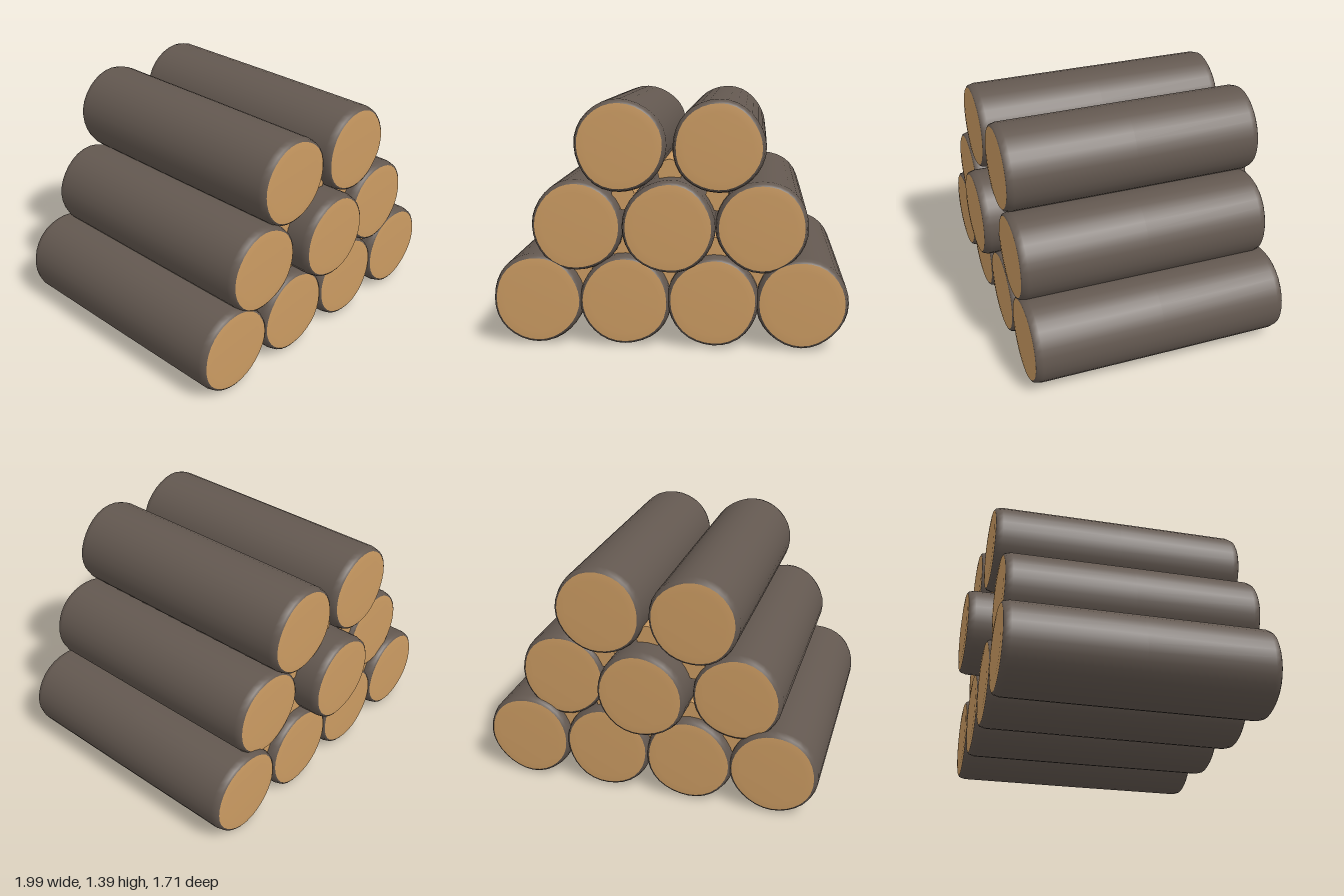
import * as THREE from 'three';

const bark = new THREE.MeshStandardMaterial({ color: 0x635850 });
bark.name = 'bark';
const wood = new THREE.MeshStandardMaterial({ color: 0xcb9b62 });
wood.name = 'cutWood';

const R = 0.257, CUT = 0.236;

// Log rows: [x, y, back z, front z]
const rows = {
  bottom: [[-0.742, 0.262, -0.75, 0.77], [-0.247, 0.262, -0.75, 0.77], [0.246, 0.262, -0.75, 0.77], [0.738, 0.262, -0.75, 0.77]],
  middle: [[-0.515, 0.682, -0.72, 0.77], [0.003, 0.695, -0.855, 0.85], [0.514, 0.685, -0.72, 0.77]],
  top: [[-0.273, 1.128, -0.755, 0.765], [0.273, 1.128, -0.76, 0.765]],
};

// Lathe profile turned to run along z, made slightly out of round
function turned(profile, seed) {
  const g = new THREE.LatheGeometry(profile.map(([r, z]) => new THREE.Vector2(r, z)), 32);
  g.rotateX(Math.PI / 2);
  const p = g.attributes.position;
  for (let i = 0; i < p.count; i++) {
    const a = Math.atan2(p.getY(i), p.getX(i));
    const k = 1 + 0.009 * Math.sin(3 * a + seed * 1.7) + 0.006 * Math.sin(5 * a + seed * 2.3);
    p.setXY(i, p.getX(i) * k, p.getY(i) * k);
  }
  return g;
}

function makeLog([x, y, back, front], seed) {
  const log = new THREE.Group();
  log.name = 'log' + seed;
  const add = (name, profile, material) => {
    const mesh = new THREE.Mesh(turned(profile, seed), material);
    mesh.name = name;
    log.add(mesh);
  };
  // Bark with softly rounded ends
  add('bark', [
    [CUT, back + 0.004], [R - 0.009, back + 0.012], [R, back + 0.045],
    [R + 0.001, (back + front) / 2],
    [R, front - 0.045], [R - 0.009, front - 0.012], [CUT, front - 0.004],
  ], bark);
  // Cut faces, domed very slightly
  add('backCut', [[0, back], [CUT * 0.8, back], [CUT, back + 0.004]], wood);
  add('frontCut', [[CUT, front - 0.004], [CUT * 0.8, front], [0, front]], wood);
  log.position.set(x, y, 0);
  return log;
}

// Wedge of wood closing the gap between three neighbouring logs
function makeWedge(a, b, c) {
  const g = new THREE.CylinderGeometry(0.07, 0.07, 1.38, 12);
  g.rotateX(Math.PI / 2);
  const mesh = new THREE.Mesh(g, wood);
  mesh.name = 'gapFiller';
  mesh.position.set((a[0] + b[0] + c[0]) / 3, (a[1] + b[1] + c[1]) / 3, 0);
  return mesh;
}

export function createModel() {
  const model = new THREE.Group();
  model.name = 'logPile';
  let seed = 0;
  for (const [name, logs] of Object.entries(rows)) {
    const row = new THREE.Group();
    row.name = name + 'Row';
    for (const log of logs) row.add(makeLog(log, ++seed));
    model.add(row);
  }
  // Gaps pointing up and down between each pair of rows
  for (const [low, high] of [[rows.bottom, rows.middle], [rows.middle, rows.top]]) {
    high.forEach((log, i) => {
      model.add(makeWedge(low[i], low[i + 1], log));
      if (i > 0) model.add(makeWedge(high[i - 1], log, low[i]));
    });
  }
  return model;
}
